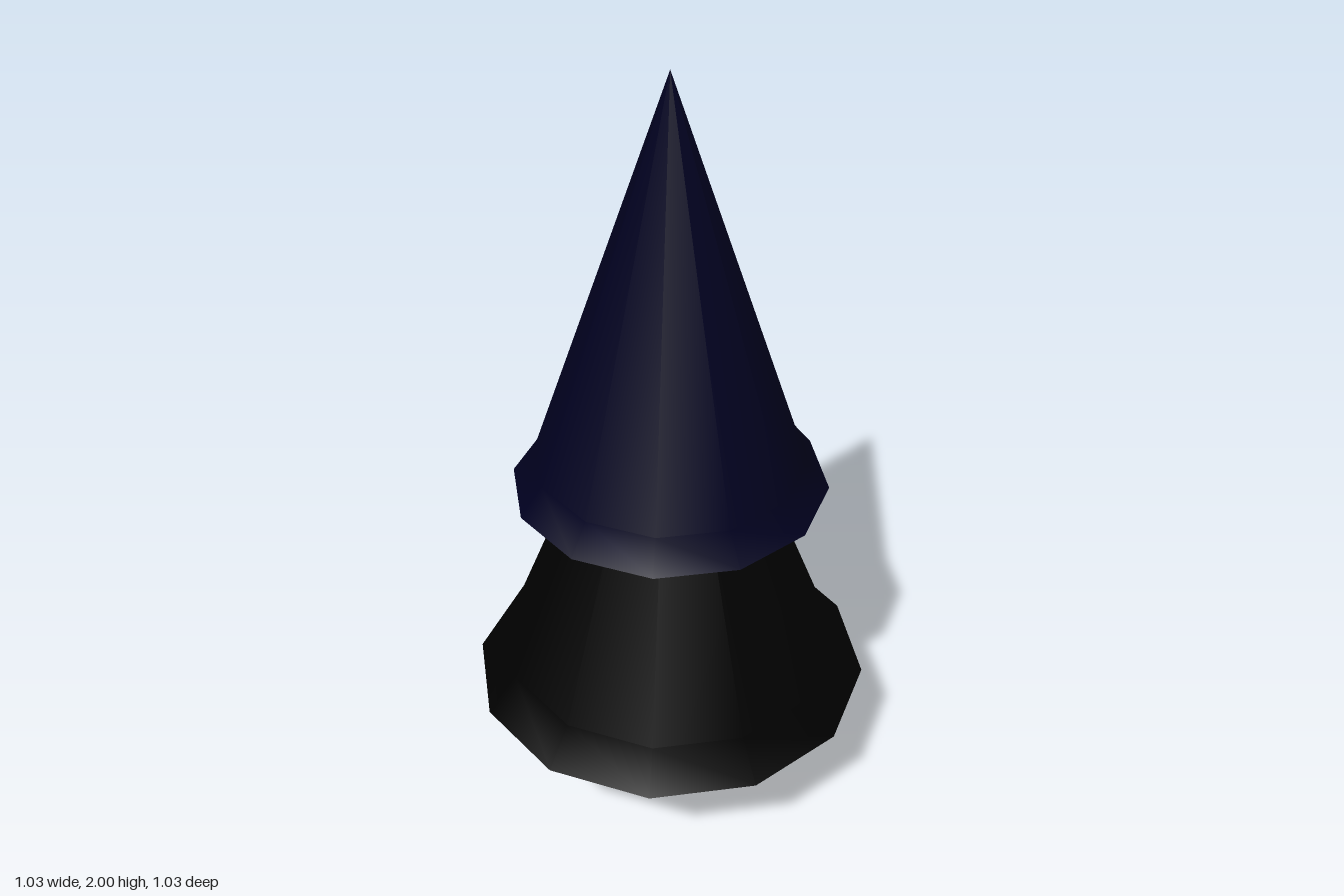
import * as THREE from 'three';

const SIDES = 12;

export function createModel() {
  const tree = new THREE.Group();
  tree.name = 'tree';

  const mat = (name, color) => {
    const m = new THREE.MeshStandardMaterial({ color });
    m.name = name;
    return m;
  };
  const lowerMat = mat('black foliage', 0x000000);
  const upperMat = mat('dark navy foliage', 0x00001f);
  const trunkMat = mat('blue bark', 0x0000cc);

  const add = (parent, name, geometry, material) => {
    const mesh = new THREE.Mesh(geometry, material);
    mesh.name = name;
    parent.add(mesh);
    return mesh;
  };

  // Foliage tier: cone with a flared skirt and a flat closed underside
  const addTier = (name, rim, rimY, waist, waistY, tipY, material) => {
    const tier = new THREE.Group();
    tier.name = name;
    const profile = [[rim, rimY], [waist, waistY], [0, tipY]].map(p => new THREE.Vector2(...p));
    add(tier, name + 'Cone', new THREE.LatheGeometry(profile, SIDES), material);
    const base = add(tier, name + 'Underside', new THREE.CircleGeometry(rim, SIDES), material);
    base.rotation.x = Math.PI / 2;
    base.position.y = rimY;
    tree.add(tier);
  };
  addTier('lowerFoliage', 0.517, 0.325, 0.44, 0.42, 1.53, lowerMat);
  addTier('upperFoliage', 0.397, 0.925, 0.34, 1.0, 2.0, upperMat);

  // Slightly tapered ten-sided trunk
  const trunk = add(tree, 'trunk', new THREE.CylinderGeometry(0.09, 0.1, 0.4, 10), trunkMat);
  trunk.rotation.y = Math.PI / 2;
  trunk.position.y = 0.2;

  return tree;
}
